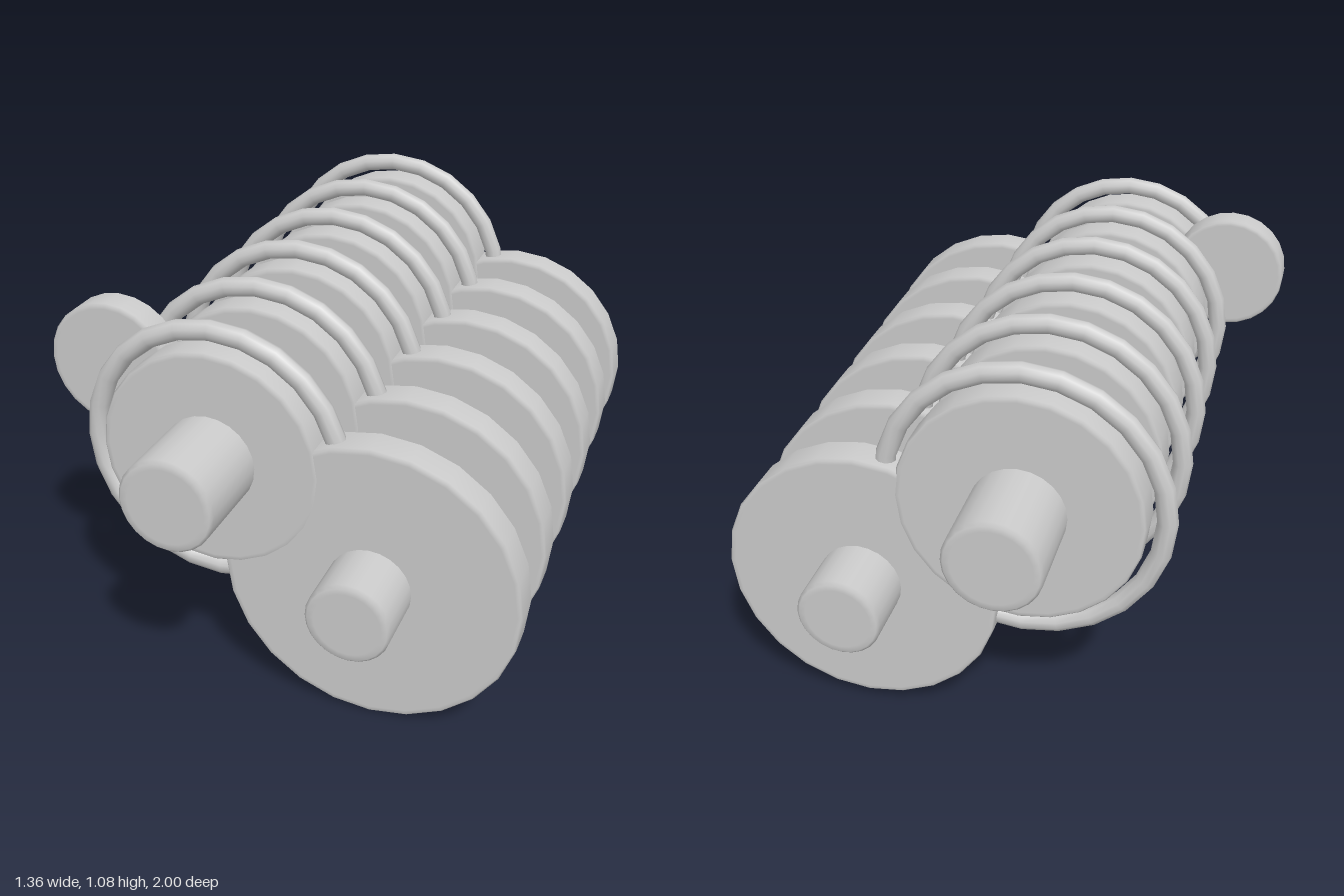
import * as THREE from 'three';

const material = new THREE.MeshStandardMaterial({ color: 0xcccccc });

// Solid round with lightly bevelled rims, its axis along z
function addRound(group, name, radius, depth, x, y, z, bevel = 0.005) {
  const h = depth / 2;
  const profile = [
    [0, -h], [radius - bevel * 3, -h], [radius - bevel, -h], [radius, -h + bevel],
    [radius, h - bevel], [radius - bevel, h], [radius - bevel * 3, h], [0, h],
  ].map(([r, t]) => new THREE.Vector2(r, t));
  const geometry = new THREE.LatheGeometry(profile, 24).rotateX(Math.PI / 2);
  const mesh = new THREE.Mesh(geometry, material);
  mesh.name = name;
  mesh.position.set(x, y, z);
  group.add(mesh);
}

export function createModel() {
  const model = new THREE.Group();
  model.name = 'twinShaftAssembly';
  const upper = [-0.15, 0.69];
  const lower = [0.28, 0.403];

  // The two parallel shafts
  addRound(model, 'upperShaft', 0.126, 2, ...upper, 0, 0.008);
  addRound(model, 'lowerShaft', 0.112, 1.85, ...lower, 0, 0.008);

  // Six stations: upper discs and rings grow to the rear, lower discs shrink
  const count = 6;
  for (let i = 0; i < count; i++) {
    const t = i / (count - 1);
    const z = 0.713 - 1.425 * t;
    const station = new THREE.Group();
    station.name = `station${i + 1}`;
    model.add(station);

    addRound(station, 'upperDisc', 0.298 + 0.025 * t, 0.0955, ...upper, z);
    addRound(station, 'lowerDisc', 0.398 - 0.024 * t, 0.095, ...lower, z);

    // Thin ring standing clear of the upper disc
    const ring = new THREE.Mesh(
      new THREE.TorusGeometry(0.341 + 0.025 * t, 0.027, 10, 24), material);
    ring.name = 'ring';
    ring.position.set(...upper, z);
    station.add(ring);
  }

  // Small disc off to the side near the front
  addRound(model, 'sideDisc', 0.175, 0.085, -0.505, 0.833, 0.567);

  return model;
}
